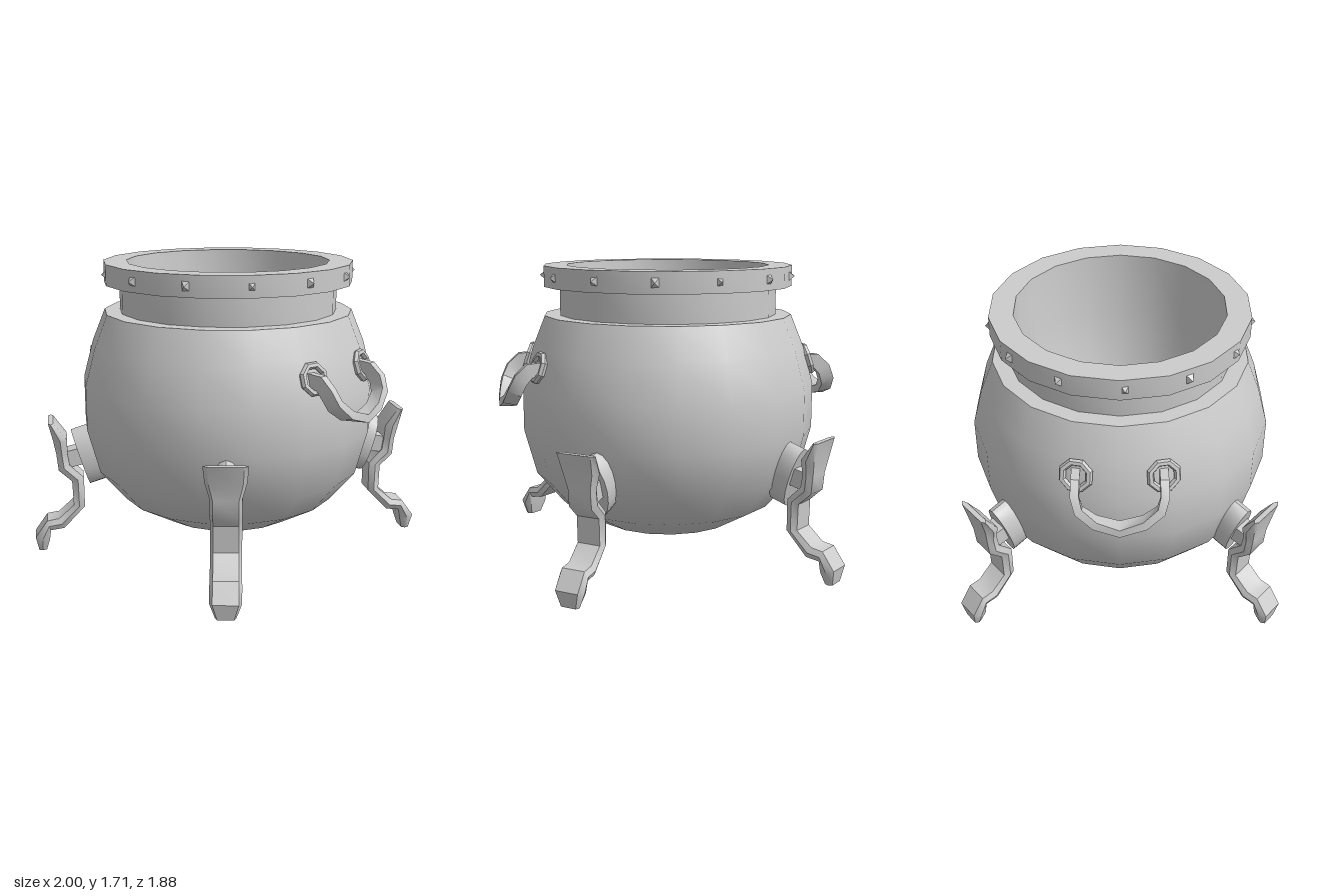
import * as THREE from 'three';
import { toCreasedNormals } from 'three/addons/utils/BufferGeometryUtils.js';

const material = new THREE.MeshStandardMaterial({ color: 0xcccccc });
const rad = THREE.MathUtils.degToRad;
const V = (x, y, z) => new THREE.Vector3(x, y, z);

function addMesh(parent, name, geometry, crease = 0.7) {
  const mesh = new THREE.Mesh(toCreasedNormals(geometry, crease), material);
  mesh.name = name;
  parent.add(mesh);
  return mesh;
}

// Skin a list of equal-sized rings of points into a closed solid.
function loft(rings) {
  const tris = [];
  const n = rings[0].length;
  for (let i = 0; i < rings.length - 1; i++) {
    for (let j = 0; j < n; j++) {
      const k = (j + 1) % n;
      const a = rings[i][j], b = rings[i][k], c = rings[i + 1][k], d = rings[i + 1][j];
      tris.push([a, b, c], [a, c, d]);
    }
  }
  const first = rings[0], last = rings[rings.length - 1];
  for (let j = 1; j < n - 1; j++) {
    tris.push([first[0], first[j + 1], first[j]], [last[0], last[j], last[j + 1]]);
  }
  // turn the faces outward when the enclosed volume is negative
  const center = first[0];
  let volume = 0;
  for (const [a, b, c] of tris) {
    volume += a.clone().sub(center).dot(b.clone().sub(center).cross(c.clone().sub(center)));
  }
  if (volume < 0) tris.forEach((t) => t.reverse());
  return new THREE.BufferGeometry().setFromPoints(tris.flat());
}

// Pot with neck, collar and inner bowl in one 18-sided profile.
function buildPot(group) {
  const profile = [
    [0, 0.19], [0.41, 0.19], [0.64, 0.32], [0.79, 0.5], [0.86, 0.76], [0.86, 1.02],
    [0.8, 1.24], [0.725, 1.425], [0.635, 1.425], [0.635, 1.59], [0.725, 1.59], [0.725, 1.71],
    [0.59, 1.71], [0.565, 1.35], [0.515, 1.0], [0.42, 0.72], [0.25, 0.54], [0, 0.48],
  ].map(([r, y]) => new THREE.Vector2(r, y));
  addMesh(group, 'pot', new THREE.LatheGeometry(profile, 18, rad(10)), 0.75);
}

// Pyramid studs around the collar.
function buildStuds(group) {
  for (let i = 0; i < 13; i++) {
    const pivot = new THREE.Group();
    pivot.name = 'collarStud';
    pivot.rotation.y = rad(-88) + (i * Math.PI * 2) / 13;
    const geometry = new THREE.ConeGeometry(0.057, 0.05, 4, 1);
    geometry.rotateY(Math.PI / 4).rotateX(Math.PI / 2).scale(0.85, 1, 1);
    addMesh(pivot, 'stud', geometry, 0.1).position.set(0, 1.65, 0.72);
    group.add(pivot);
  }
}

// Drooping side handle with two octagonal eyelets.
function buildHandle() {
  const handle = new THREE.Group();
  handle.name = 'handle';
  // x, y, z and lean of the strap's wide side
  const half = [
    [0.76, 1.15, 0.23, 10], [0.845, 1.145, 0.232, 20], [0.895, 1.095, 0.235, 50],
    [0.925, 1.03, 0.215, 65], [0.945, 0.965, 0.13, 78],
  ];
  const mirrored = half.map(([x, y, z, a]) => [x, y, -z, a]).reverse();
  const stations = [...half, [0.957, 0.93, 0, 88], ...mirrored];
  const points = stations.map(([x, y, z]) => V(x, y, z));
  const rings = points.map((p, i) => {
    const ahead = points[Math.min(i + 1, points.length - 1)];
    const behind = points[Math.max(i - 1, 0)];
    const tangent = ahead.clone().sub(behind).normalize();
    const lean = rad(stations[i][3]);
    const wide = V(Math.sin(lean), Math.cos(lean), 0);
    const thin = tangent.cross(wide).normalize();
    return [[1, 1], [1, -1], [-1, -1], [-1, 1]].map(([w, t]) =>
      p.clone().addScaledVector(wide, w * 0.041).addScaledVector(thin, t * 0.023));
  });
  addMesh(handle, 'handleStrap', loft(rings), 0.6);

  for (const side of [1, -1]) {
    const ring = new THREE.TorusGeometry(0.077, 0.02, 6, 8);
    ring.rotateZ(Math.PI / 8).rotateX(rad(-18)).rotateY(rad(90 - side * 12));
    addMesh(handle, 'eyelet', ring, 0.5).position.set(0.795, 1.16, side * 0.23);
  }
  return handle;
}

// Curved leg, built along +z, held off the pot by an oval pad and a stem.
function buildLeg() {
  const leg = new THREE.Group();
  leg.name = 'leg';
  // outer radius and height, inner radius and height, half width
  const stations = [
    [1.07, 0.795, 1.04, 0.795, 0.118], [1.045, 0.69, 0.965, 0.69, 0.11],
    [1.03, 0.6, 0.965, 0.6, 0.085], [1.02, 0.5, 0.955, 0.53, 0.085],
    [0.945, 0.43, 0.875, 0.45, 0.085], [0.94, 0.28, 0.875, 0.27, 0.085],
    [1.03, 0.2, 1.0, 0.14, 0.085], [1.1, 0.19, 1.08, 0.13, 0.085],
    [1.172, 0.09, 1.09, 0.07, 0.085], [1.155, 0, 1.11, 0, 0.055],
  ];
  const rings = stations.map(([ro, yo, ri, yi, w]) => {
    const rm = (ro + ri) / 2, ym = (yo + yi) / 2;
    return [
      V(-w * 0.8, yo, ro), V(w * 0.8, yo, ro), V(w, ym, rm),
      V(w * 0.8, yi, ri), V(-w * 0.8, yi, ri), V(-w, ym, rm),
    ];
  });
  addMesh(leg, 'legBar', loft(rings), 0.75);

  const pad = new THREE.CylinderGeometry(1, 1, 0.1, 16);
  pad.rotateX(Math.PI / 2).scale(0.088, 0.178, 1).rotateX(rad(17));
  addMesh(leg, 'legPad', pad).position.set(0, 0.575, 0.84);

  const stem = new THREE.BoxGeometry(0.11, 0.1, 0.16).rotateX(rad(12));
  addMesh(leg, 'legStem', stem).position.set(0, 0.57, 0.92);
  return leg;
}

export function createModel() {
  const group = new THREE.Group();
  group.name = 'cauldron';
  buildPot(group);
  buildStuds(group);
  for (const turn of [0, 180]) {
    const handle = buildHandle();
    handle.rotation.y = rad(turn);
    group.add(handle);
  }
  for (const turn of [40, -40, 140, -140]) {
    const leg = buildLeg();
    leg.rotation.y = rad(turn);
    group.add(leg);
  }
  return group;
}
